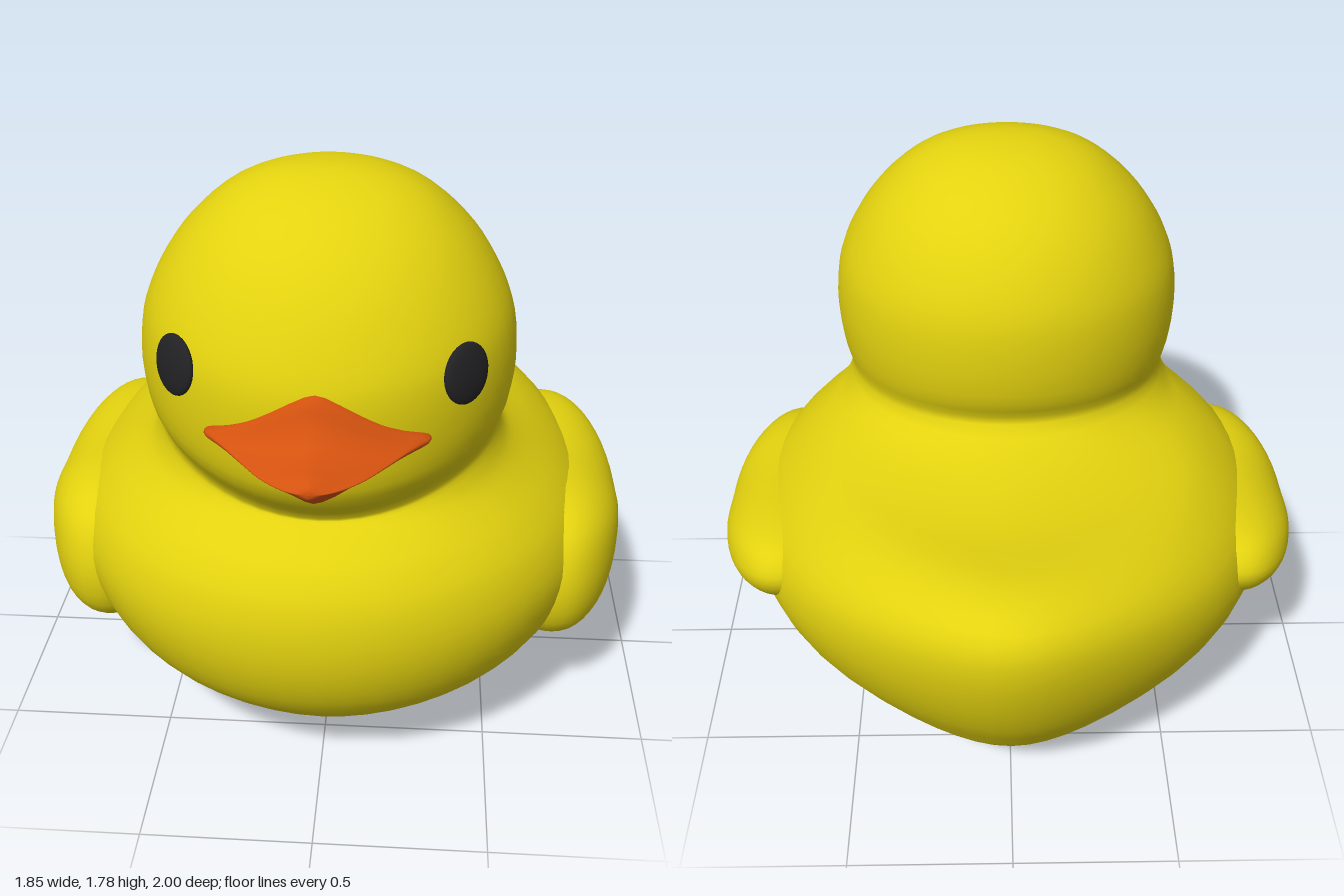
import * as THREE from 'three';

const yellow = new THREE.MeshStandardMaterial({ color: 0xe3d20f });
yellow.name = 'yellow';
const orange = new THREE.MeshStandardMaterial({ color: 0xd4520f });
orange.name = 'orange';
const black = new THREE.MeshStandardMaterial({ color: 0x222224 });
black.name = 'black';

const V = (x, y, z) => new THREE.Vector3(x, y, z);

// Smooth skin over a stack of closed rings; each column is splined through the rings.
function skin(rings, steps, flip = false) {
  const n = rings[0].length;
  const rows = (rings.length - 1) * steps;
  const pos = [], index = [];
  const columns = [];
  for (let j = 0; j < n; j++) {
    const curve = new THREE.CatmullRomCurve3(rings.map((r) => r[j]));
    columns.push(curve.getPoints(rows));
  }
  for (let i = 0; i <= rows; i++) {
    for (let j = 0; j < n; j++) pos.push(...columns[j][i].toArray());
  }
  for (let i = 0; i < rows; i++) {
    for (let j = 0; j < n; j++) {
      const k = (j + 1) % n;
      const a = i * n + j, b = i * n + k, c = b + n, d = a + n;
      if (flip) index.push(a, d, b, b, d, c);
      else index.push(a, b, d, b, c, d);
    }
  }
  const g = new THREE.BufferGeometry();
  g.setAttribute('position', new THREE.Float32BufferAttribute(pos, 3));
  g.setIndex(index);
  g.computeVertexNormals();
  return g;
}

function ring(n, fn) {
  return Array.from({ length: n }, (_, j) => fn((j / n) * Math.PI * 2));
}

// Tilted ovals: front, back and side each have their own height and reach;
// pinch narrows the oval towards its back.
function oval([yF, zF, yB, zB, yS, w, zw], pinch) {
  return ring(56, (t) => {
    const c = Math.cos(t);
    const y = yS + ((c > 0 ? yF : yB) - yS) * c * c;
    const z = zw + (c > 0 ? zF - zw : zw - zB) * c;
    const taper = c < 0 ? 1 - pinch * c ** 4 : 1;
    return V(w * taper * Math.sin(t), y, z);
  });
}

// front y, front z, back y, back z, side y, half width, z of widest point
const torso = [
  [0, 0, 0, 0, 0, 0, 0],
  [0.01, 0.2, 0.01, -0.2, 0.01, 0.2, 0],
  [0.05, 0.42, 0.05, -0.41, 0.045, 0.35, 0],
  [0.1, 0.56, 0.1, -0.57, 0.1, 0.48, 0],
  [0.2, 0.69, 0.19, -0.71, 0.2, 0.63, 0],
  [0.32, 0.8, 0.32, -0.805, 0.32, 0.74, 0.02],
  [0.45, 0.855, 0.47, -0.9, 0.45, 0.805, 0.03],
  [0.58, 0.87, 0.66, -0.975, 0.58, 0.83, 0.03],
  [0.7, 0.85, 0.83, -1.0, 0.7, 0.795, 0.03],
  [0.78, 0.805, 0.92, -0.965, 0.79, 0.725, 0.04],
  [0.82, 0.765, 0.97, -0.84, 0.86, 0.645, 0.08],
  [0.855, 0.72, 0.955, -0.6, 0.91, 0.58, 0.15],
  [0.875, 0.69, 0.98, -0.36, 0.96, 0.53, 0.22],
];
const skull = [
  [0.89, 0.675, 1.05, -0.2, 1.03, 0.507, 0.25],
  [1.0, 0.765, 1.14, -0.23, 1.12, 0.527, 0.27],
  [1.12, 0.795, 1.25, -0.245, 1.24, 0.54, 0.28],
  [1.3, 0.8, 1.38, -0.24, 1.37, 0.528, 0.28],
  [1.42, 0.76, 1.47, -0.215, 1.46, 0.497, 0.28],
  [1.54, 0.695, 1.57, -0.16, 1.56, 0.44, 0.27],
  [1.64, 0.61, 1.65, -0.09, 1.64, 0.373, 0.27],
  [1.72, 0.5, 1.72, 0.01, 1.72, 0.275, 0.27],
  [1.766, 0.39, 1.766, 0.12, 1.766, 0.165, 0.27],
  [1.782, 0.32, 1.782, 0.21, 1.782, 0.07, 0.27],
  [1.785, 0.27, 1.785, 0.27, 1.785, 0, 0.27],
];

// Beak: pinched diamond sections, with the blunt corners swept back round the head.
function beakGeometry() {
  const sections = [ // z, half width, top y, bottom y, corner y, sweep
    [0.73, 0.28, 1.31, 1.06, 1.185, 0.07],
    [0.8, 0.3, 1.335, 1.038, 1.187, 0.065],
    [0.835, 0.275, 1.27, 1.042, 1.186, 0.07],
    [0.87, 0.24, 1.228, 1.062, 1.181, 0.07],
    [0.92, 0.19, 1.207, 1.108, 1.174, 0.06],
    [0.96, 0.13, 1.198, 1.129, 1.168, 0.03],
    [0.985, 0.075, 1.188, 1.14, 1.165, 0.012],
    [0.996, 0.035, 1.178, 1.152, 1.165, 0.003],
    [0.999, 0, 1.165, 1.165, 1.165, 0],
  ];
  return skin(sections.map(([z, w, top, bottom, mid, sweep]) => ring(40, (t) => {
    const c = Math.cos(t), s = Math.sin(t);
    const u = Math.sign(c) * Math.abs(c) ** 1.3;
    const v = 0.7 * Math.abs(s) ** 5 + 0.3 * Math.abs(s);
    return V(w * u, mid + ((s > 0 ? top : bottom) - mid) * v, z - sweep * u * u);
  })), 4);
}

// Wing: a paddle outline drawn in z and y, domed outwards.
function wingGeometry(side) {
  const outline = new THREE.CatmullRomCurve3([
    [-0.49, 0.67], [-0.45, 0.745], [-0.34, 0.778], [0, 0.768], [0.28, 0.755],
    [0.42, 0.68], [0.475, 0.52], [0.44, 0.37], [0.33, 0.295], [0.2, 0.3],
    [0, 0.365], [-0.26, 0.465], [-0.42, 0.56],
  ].map(([z, y]) => V(0, y, z)), true).getPoints(48).slice(0, 48);
  const layers = [[0.6, 0.95], [0.66, 0.99], [0.7, 1]];
  for (let i = 1; i <= 7; i++) {
    const a = (i / 7) * Math.PI / 2;
    layers.push([0.7 + 0.225 * Math.sin(a), i === 7 ? 0 : Math.cos(a)]);
  }
  const rings = layers.map(([x, s]) => outline.map((p) =>
    V(side * x, 0.56 + (p.y - 0.56) * s, p.z * s)));
  return skin(rings, 2, side < 0);
}

export function createModel() {
  const model = new THREE.Group();
  model.name = 'duck';
  const add = (name, geometry, material) => {
    const mesh = new THREE.Mesh(geometry, material);
    mesh.name = name;
    model.add(mesh);
    return mesh;
  };

  // Body and head are one continuous skin
  const rings = [...torso.map((r) => oval(r, 0.3)), ...skull.map((r) => oval(r, 0))];
  add('bodyAndHead', skin(rings, 3), yellow);
  add('beak', beakGeometry(), orange);

  for (const side of [1, -1]) {
    const label = side > 0 ? 'left' : 'right';
    add(label + 'Wing', wingGeometry(side), yellow);

    // Eye: a shallow dome resting on the head
    const eye = add(label + 'Eye', new THREE.SphereGeometry(1, 28, 16), black);
    eye.scale.set(0.082, 0.085, 0.022);
    eye.position.set(side * 0.386, 1.333, 0.634);
    eye.rotation.set(-0.13, side * 0.81, 0, 'YXZ');
  }
  return model;
}
